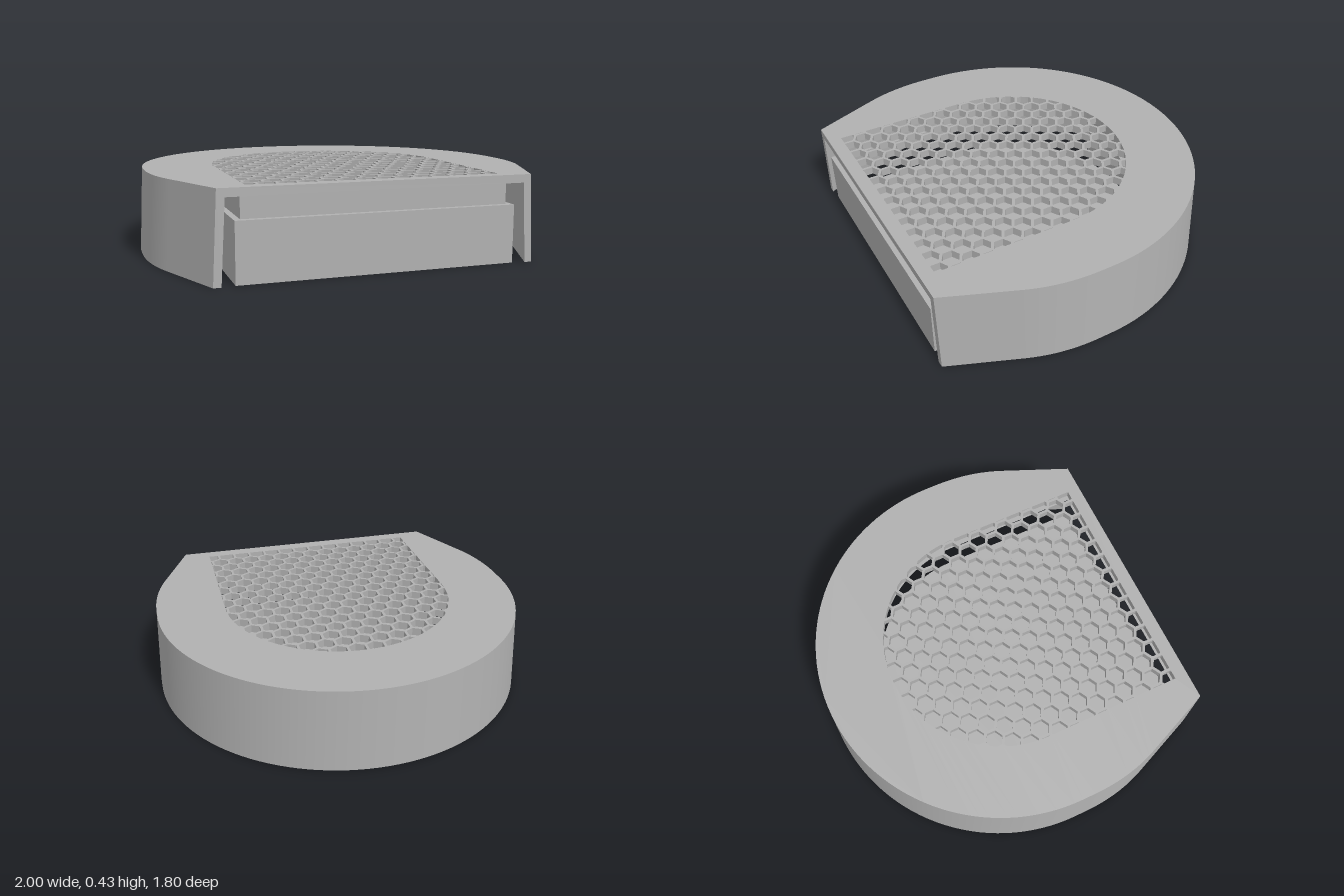
import * as THREE from 'three';

const H = 0.43, UNDER = 0.39, FRONT = 0.9, CZ = 0.1;

// Hood outline in (x, z), from the left front corner round the back to the right.
function hoodOutline(inset) {
  const s = 1 - inset, half = [];
  const bend = new THREE.QuadraticBezierCurve(
    new THREE.Vector2(0.93 - inset, 0.54), new THREE.Vector2(s, 0.37), new THREE.Vector2(s, 0.17));
  half.push(new THREE.Vector2(0.78 - inset * 1.05, FRONT), ...bend.getPoints(10));
  for (let i = 0; i <= 32; i++) {
    const a = (i / 32) * Math.PI / 2;
    half.push(new THREE.Vector2(s * Math.cos(a), CZ - s * Math.sin(a)));
  }
  const other = half.slice(0, -1).reverse().map(p => new THREE.Vector2(-p.x, p.y));
  return [...half, ...other];
}

// D outline in (x, z): flat front, straight sides, half-round back.
function dOutline(r) {
  const pts = [new THREE.Vector2(r, 0.21 + r)];
  for (let i = 0; i <= 48; i++) {
    const a = (i / 48) * Math.PI;
    pts.push(new THREE.Vector2(r * Math.cos(a), CZ - r * Math.sin(a)));
  }
  pts.push(new THREE.Vector2(-r, 0.21 + r));
  return pts;
}

// Horizontal slab from y0 to y1 with optional holes.
function slab(outline, holes, y0, y1) {
  const shape = new THREE.Shape(outline);
  holes.forEach(h => shape.holes.push(new THREE.Path(h)));
  const g = new THREE.ExtrudeGeometry(shape, { depth: y1 - y0, bevelEnabled: false });
  g.rotateX(Math.PI / 2);
  g.translate(0, y1, 0);
  return g;
}

// Smooth band between two outlines at given insets and heights.
function band([insetA, yA], [insetB, yB]) {
  const a = hoodOutline(insetA), b = hoodOutline(insetB), pos = [], idx = [];
  a.forEach((p, i) => {
    pos.push(p.x, yA, p.y, b[i].x, yB, b[i].y);
    if (i) {
      const k = 2 * i;
      idx.push(k - 2, k, k + 1, k - 2, k + 1, k - 1);
    }
  });
  const g = new THREE.BufferGeometry();
  g.setAttribute('position', new THREE.Float32BufferAttribute(pos, 3));
  g.setIndex(idx);
  g.computeVertexNormals();
  return g;
}

// Clip a polygon to a convex outline.
function clip(poly, outline) {
  let out = poly;
  outline.forEach((a, i) => {
    const b = outline[(i + 1) % outline.length];
    const side = p => -((b.x - a.x) * (p.y - a.y) - (b.y - a.y) * (p.x - a.x));
    const next = [];
    out.forEach((p, j) => {
      const q = out[(j + 1) % out.length], sp = side(p), sq = side(q);
      if (sp >= 0) next.push(p);
      if (sp * sq < 0) next.push(p.clone().lerp(q, sp / (sp - sq)));
    });
    out = next;
  });
  return out;
}

// Honeycomb cells trimmed to the D-shaped grille area.
function honeycomb() {
  const area = dOutline(0.62), cells = [];
  const px = 0.0938, pz = 0.0812, r = 0.046;
  for (let k = -1; k <= 17; k++) {
    for (let c = -8; c <= 8; c++) {
      const x = (c + (k % 2 ? 0 : 0.5)) * px, z = -0.495 + k * pz;
      const hex = [];
      for (let i = 0; i < 6; i++) {
        const a = Math.PI / 6 + i * Math.PI / 3;
        hex.push(new THREE.Vector2(x + r * Math.cos(a), z + r * Math.sin(a)));
      }
      const cell = clip(hex, area);
      if (cell.length > 2 && Math.abs(THREE.ShapeUtils.area(cell)) > 0.0001) cells.push(cell);
    }
  }
  return cells;
}

export function createModel() {
  const model = new THREE.Group();
  model.name = 'grilleHood';
  const grey = new THREE.MeshStandardMaterial({ color: 0xb0b0b0 });
  grey.name = 'plainGrey';
  const add = (name, geometry, parent = model) => {
    const m = new THREE.Mesh(geometry, grey);
    m.name = name;
    parent.add(m);
    return m;
  };

  // Tapered side wall, open at the front
  const wall = new THREE.Group();
  wall.name = 'sideWall';
  model.add(wall);
  const section = [[0.055, UNDER], [0.035, 0], [0, 0], [0.02, H]];
  ['wallInside', 'wallBottomEdge', 'wallOutside'].forEach((name, i) =>
    add(name, band(section[i], section[i + 1]), wall));
  for (const s of [1, -1]) {
    const cap = new THREE.Shape(section.map(([inset, y]) =>
      new THREE.Vector2(s * (0.78 - inset * 1.05), y)));
    add(s > 0 ? 'leftWallEnd' : 'rightWallEnd', new THREE.ShapeGeometry(cap), wall)
      .position.z = FRONT;
  }

  // Top plate with honeycomb grille
  add('topPlate', slab(hoodOutline(0.02), honeycomb(), UNDER, H));

  // Collar below the grille and the tray it sits on
  add('collar', slab(dOutline(0.65), [dOutline(0.62)], 0.285, UNDER));
  add('trayWall', slab(dOutline(0.68), [dOutline(0.645)], 0.04, 0.285));
  add('trayFloor', slab(dOutline(0.68), [], 0, 0.04));

  // Sloped bridge joining the tray to the back wall
  const profile = new THREE.Shape([[-0.55, 0.09], [-0.55, UNDER], [-0.84, UNDER], [-0.84, 0.22]]
    .map(([z, y]) => new THREE.Vector2(z, y)));
  const bridge = new THREE.ExtrudeGeometry(profile, { depth: 0.4, bevelEnabled: false });
  bridge.rotateY(-Math.PI / 2);
  bridge.translate(0.2, 0, 0);
  add('backBridge', bridge);

  return model;
}
